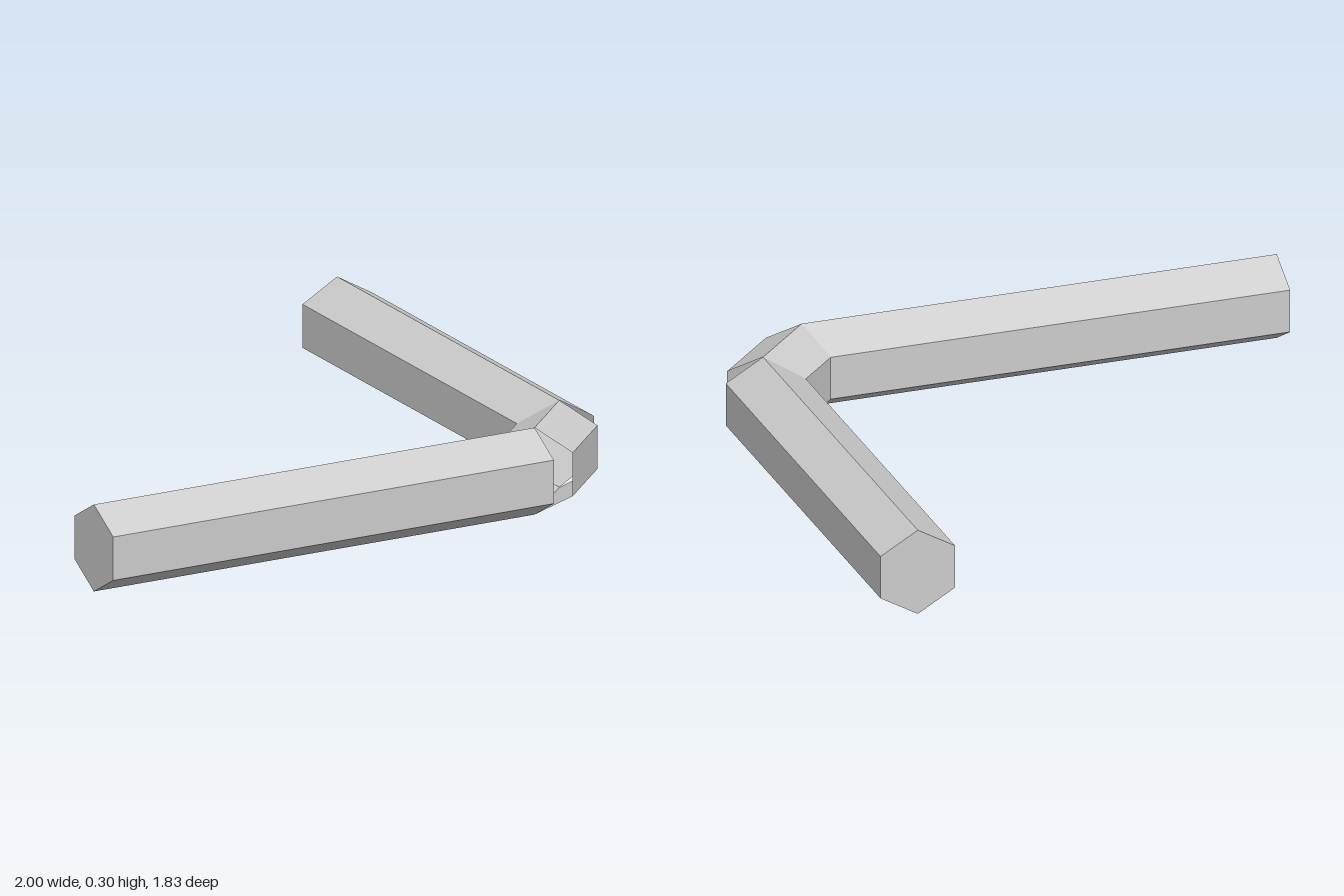
import * as THREE from 'three';

const RADIUS = 0.15;

export function createModel() {
  const model = new THREE.Group();
  const grey = new THREE.MeshStandardMaterial({ color: 0xcccccc, flatShading: true, side: THREE.DoubleSide });
  grey.name = 'grey';

  // Hexagonal tube lying flat between two [x, z] points, ridge upward; closed at its start if capped
  function hexTube(name, [x0, z0], [x1, z1], capped) {
    const length = Math.hypot(x1 - x0, z1 - z0);
    const part = new THREE.Group();
    part.name = name;
    const wall = new THREE.CylinderGeometry(RADIUS, RADIUS, length, 6, 1, true);
    wall.rotateX(Math.PI / 2);
    const tube = new THREE.Mesh(wall, grey);
    tube.name = name + 'Wall';
    part.add(tube);
    if (capped) {
      const disc = new THREE.CircleGeometry(RADIUS, 6, Math.PI / 2);
      disc.rotateY(Math.PI);
      disc.translate(0, 0, -length / 2);
      const cap = new THREE.Mesh(disc, grey);
      cap.name = name + 'EndCap';
      part.add(cap);
    }
    part.position.set((x0 + x1) / 2, RADIUS, (z0 + z1) / 2);
    part.rotation.y = Math.atan2(x1 - x0, z1 - z0);
    model.add(part);
  }

  // Two arms joined by a short diagonal, all open at the bends
  const bendA = [0.656, 0.787];
  const bendB = [0.868, 0.575];
  hexTube('frontArm', [-1, 0.787], bendA, true);
  hexTube('cornerPiece', bendA, bendB, false);
  hexTube('sideArm', [0.868, -0.917], bendB, true);

  return model;
}
